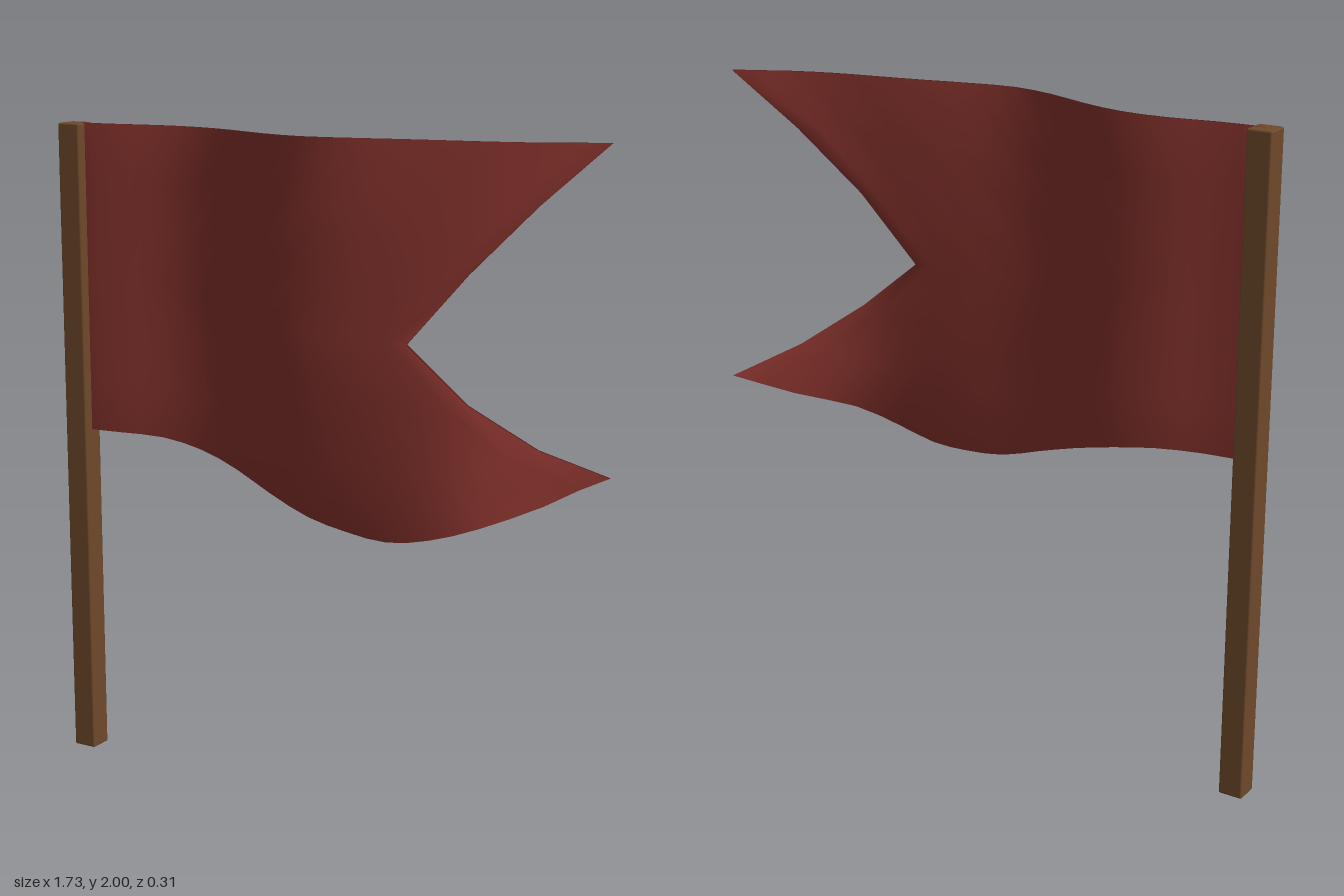
import * as THREE from 'three';
import { RoundedBoxGeometry } from 'three/addons/geometries/RoundedBoxGeometry.js';

const X0 = -0.83, X1 = 0.86, COLS = 24, ROWS = 6, HALF = 0.005;

// Smooth function of x through values spaced evenly from X0 to X1
function profile(values) {
  const curve = new THREE.SplineCurve(values.map((v, i) => new THREE.Vector2(i, v)));
  return (x) => curve.getPoint(THREE.MathUtils.clamp((x - X0) / (X1 - X0), 0, 1)).y;
}

const topZ = profile([0.065, 0.053, 0.027, 0.027, 0.065, 0.12, 0.148, 0.125, 0.09, 0.06, 0.03, -0.02, -0.092]);
const bottomZ = profile([0.065, 0.053, 0.027, 0.022, 0.045, 0.08, 0.1, 0.118, 0.137, 0.145, 0.11, -0.02, -0.15]);
const bottomY = profile([1.05, 1.05, 1.045, 1.02, 0.98, 0.93, 0.882, 0.86, 0.853, 0.88, 0.925, 0.98, 1.05]);

// Free end of each row, top to bottom: two tails with a notch between
const rowEnd = [0.86, 0.687, 0.513, 0.34, 0.53, 0.7, 0.86];

// Thin waving cloth: front and back grids joined by a shared rim
function clothGeometry() {
  const positions = [], index = [];
  const layer = (COLS + 1) * (ROWS + 1);
  const id = (i, j) => j * (COLS + 1) + i;
  for (const offset of [HALF, -HALF]) {
    for (let j = 0; j <= ROWS; j++) {
      const v = j / ROWS;
      for (let i = 0; i <= COLS; i++) {
        const x = THREE.MathUtils.lerp(X0, rowEnd[j], i / COLS);
        const y = THREE.MathUtils.lerp(2, bottomY(x), v);
        const z = THREE.MathUtils.lerp(topZ(x), bottomZ(x), v);
        positions.push(x, y, z + offset);
      }
    }
  }
  for (let j = 0; j < ROWS; j++) {
    for (let i = 0; i < COLS; i++) {
      const a = id(i, j), b = id(i, j + 1), c = id(i + 1, j + 1), d = id(i + 1, j);
      index.push(a, b, d, b, c, d);
      index.push(a + layer, d + layer, b + layer, b + layer, d + layer, c + layer);
    }
  }
  // Rim, walked anticlockwise as seen from the front
  const rim = [];
  for (let j = 0; j < ROWS; j++) rim.push(id(0, j));
  for (let i = 0; i < COLS; i++) rim.push(id(i, ROWS));
  for (let j = ROWS; j > 0; j--) rim.push(id(COLS, j));
  for (let i = COLS; i > 0; i--) rim.push(id(i, 0));
  rim.forEach((p, k) => {
    const q = rim[(k + 1) % rim.length];
    index.push(p, p + layer, q, q, p + layer, q + layer);
  });
  const geometry = new THREE.BufferGeometry();
  geometry.setAttribute('position', new THREE.Float32BufferAttribute(positions, 3));
  geometry.setIndex(index);
  geometry.computeVertexNormals();
  return geometry;
}

export function createModel() {
  const wood = new THREE.MeshStandardMaterial({ color: 0x6f4a2b });
  wood.name = 'brown wood';
  const red = new THREE.MeshStandardMaterial({ color: 0x87332d });
  red.name = 'red cloth';

  const group = new THREE.Group();
  group.name = 'flag';

  // Square pole with slightly eased edges
  const pole = new THREE.Mesh(new RoundedBoxGeometry(0.076, 2, 0.076, 1, 0.006), wood);
  pole.name = 'pole';
  pole.position.set(-0.83, 1, 0.063);

  // Swallow-tailed banner
  const banner = new THREE.Mesh(clothGeometry(), red);
  banner.name = 'banner';

  group.add(pole, banner);
  return group;
}
